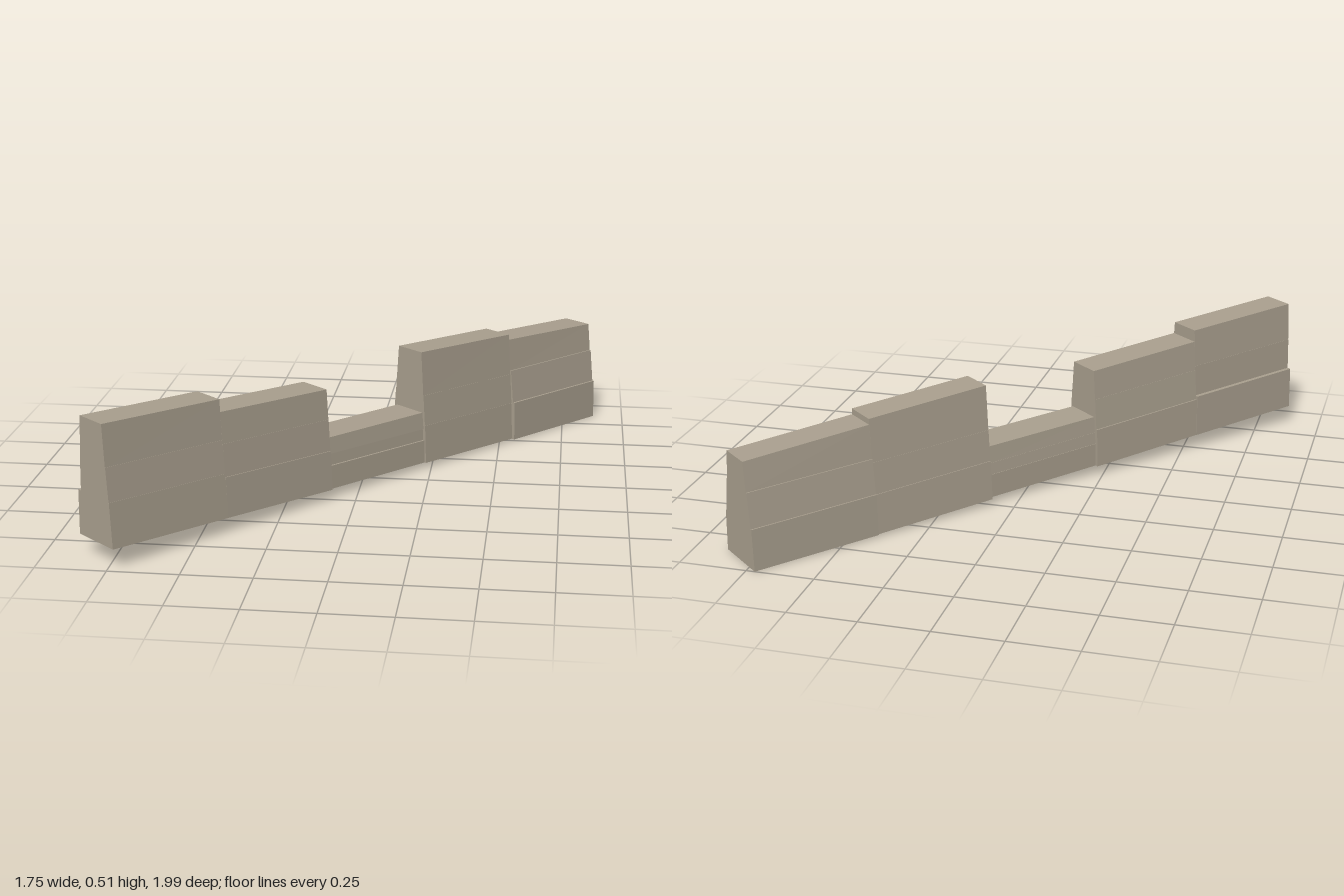
import * as THREE from 'three';

const stone = new THREE.MeshStandardMaterial({ color: 0xaaa08f });
stone.name = 'weathered stone';

// Six-sided block along x: tapered in z, with sloping bottom and top.
// bottom / top: [y at start, y at end]; lower / upper: [back z, front z]
function blockGeometry(x0, x1, bottom, top, lower, upper) {
  const geo = new THREE.BoxGeometry(1, 1, 1).toNonIndexed();
  const p = geo.attributes.position;
  for (let i = 0; i < p.count; i++) {
    const end = p.getX(i) > 0 ? 1 : 0;
    const high = p.getY(i) > 0;
    const side = p.getZ(i) > 0 ? 1 : 0;
    p.setXYZ(i, end ? x1 : x0, (high ? top : bottom)[end], (high ? upper : lower)[side]);
  }
  geo.computeVertexNormals();
  return geo;
}

// Ground level under the wall, falling gently from one end to the other
const joints = [-1.226, -0.735, -0.243, 0.245, 0.735, 1.226];
const ground = [0.076, 0.058, 0.038, 0.024, 0.009, 0];

// Each course: [height at start, height at end, lower back, lower front, upper back, upper front]
const sections = [
  { name: 'tallEndSection', courses: [
    [0.163, 0.163, -0.098, 0.097, -0.094, 0.086],
    [0.285, 0.285, -0.078, 0.085, -0.073, 0.074],
    [0.435, 0.432, -0.072, 0.073, -0.062, 0.063]] },
  { name: 'lowerSection', courses: [
    [0.15, 0.15, -0.097, 0.096, -0.091, 0.088],
    [0.27, 0.27, -0.086, 0.085, -0.075, 0.076],
    [0.386, 0.383, -0.074, 0.075, -0.064, 0.066]] },
  { name: 'gapSection', courses: [
    [0.09, 0.09, -0.085, 0.086, -0.083, 0.083],
    [0.135, 0.135, -0.081, 0.076, -0.077, 0.073],
    [0.197, 0.2, -0.076, 0.077, -0.07, 0.07]] },
  { name: 'tallMiddleSection', courses: [
    [0.15, 0.15, -0.102, 0.093, -0.091, 0.086],
    [0.27, 0.27, -0.088, 0.085, -0.078, 0.075],
    [0.441, 0.433, -0.077, 0.074, -0.063, 0.061]] },
  { name: 'farEndSection', courses: [
    [0.155, 0.155, -0.108, 0.106, -0.101, 0.102],
    [0.285, 0.285, -0.096, 0.094, -0.08, 0.078],
    [0.411, 0.395, -0.076, 0.073, -0.063, 0.06]] },
];

export function createModel() {
  const model = new THREE.Group();
  model.name = 'brokenStoneWall';
  const wall = new THREE.Group();
  wall.name = 'wall';
  wall.rotation.y = Math.atan2(0.758, 0.652); // wall runs diagonally
  model.add(wall);

  sections.forEach(({ name, courses }, i) => {
    const section = new THREE.Group();
    section.name = name;
    const base = [ground[i], ground[i + 1]];
    let bottom = base;
    courses.forEach(([h0, h1, lb, lf, ub, uf], c) => {
      const top = [base[0] + h0, base[1] + h1];
      const mesh = new THREE.Mesh(
        blockGeometry(joints[i], joints[i + 1], bottom, top, [lb, lf], [ub, uf]), stone);
      mesh.name = ['lowerCourse', 'middleCourse', 'topCourse'][c];
      section.add(mesh);
      bottom = top;
    });
    wall.add(section);
  });
  return model;
}
